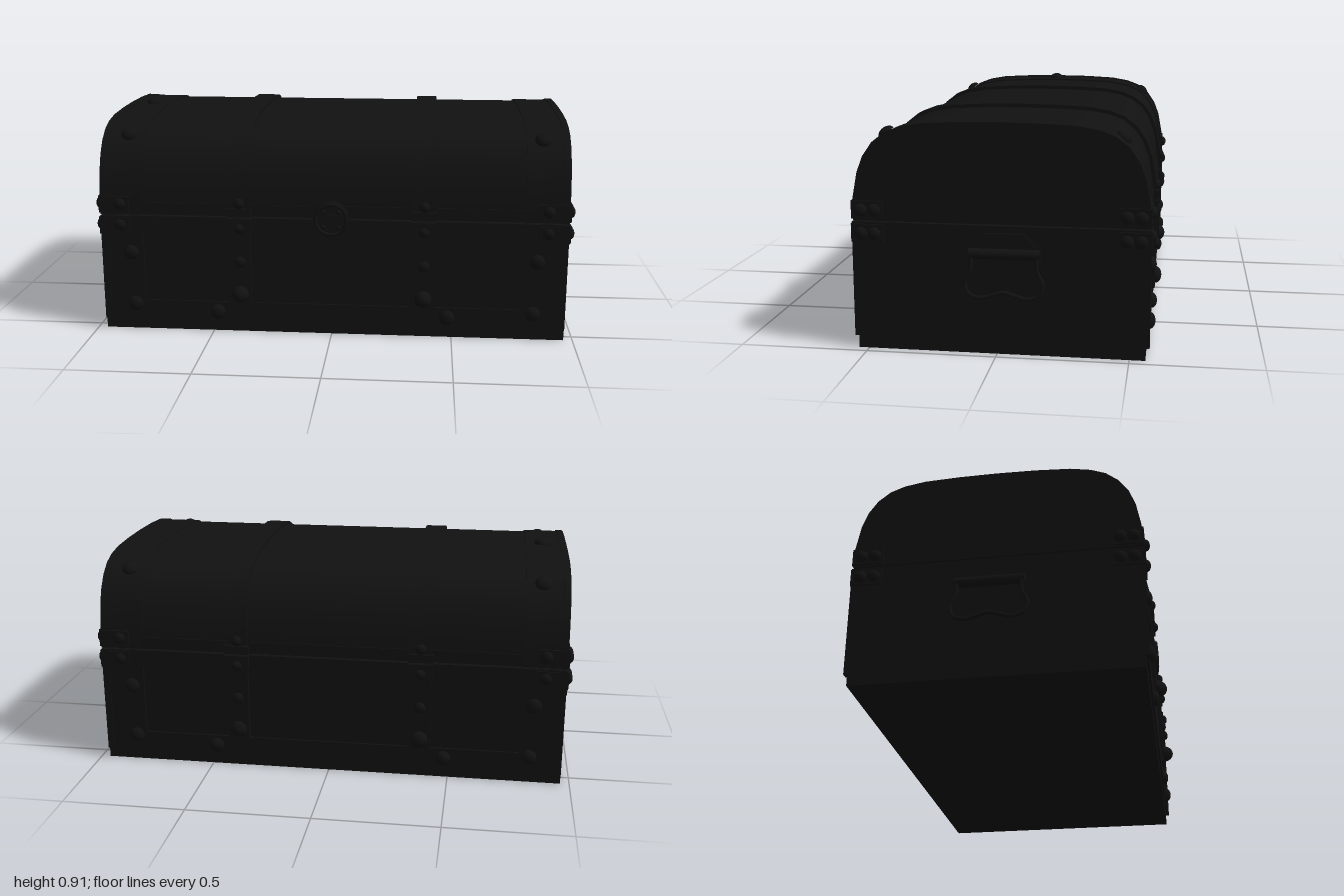
import * as THREE from 'three';
import { toCreasedNormals } from 'three/addons/utils/BufferGeometryUtils.js';

const DARK = new THREE.MeshStandardMaterial({ color: 0x111111 });
const CZ = -0.01;     // depth centre of the chest
const HALF_X = 0.963; // half length
const HALF_Z = 0.55;  // half depth
const SEAM = 0.5;

// Half of the lid arch: [distance from the centre, height]
const ARCH = [[0.55, 0.503], [0.548, 0.59], [0.53, 0.685], [0.507, 0.745], [0.472, 0.795],
  [0.425, 0.832], [0.37, 0.853], [0.29, 0.867], [0.15, 0.874], [0, 0.876]];

export function createModel() {
  const chest = new THREE.Group();
  chest.name = 'treasureChest';

  const add = (name, geometry, x = 0, y = 0, z = 0, parent = chest) => {
    const mesh = new THREE.Mesh(geometry, DARK);
    mesh.name = name;
    mesh.position.set(x, y, z);
    parent.add(mesh);
    return mesh;
  };
  const box = (name, w, h, d, x, y, z) => add(name, new THREE.BoxGeometry(w, h, d), x, y, z);

  // Slice of the lid arch, grown outwards by offset
  const arch = (name, x0, x1, offset) => {
    const side = ARCH.map(([z, y], i) => {
      const a = ARCH[Math.max(i - 1, 0)], b = ARCH[Math.min(i + 1, ARCH.length - 1)];
      const n = new THREE.Vector2(b[1] - a[1], a[0] - b[0]).normalize();
      if (i === 0) n.set(1, 0);
      if (z === 0) n.set(0, 1);
      return new THREE.Vector2(z + n.x * offset, y + n.y * offset);
    });
    const other = side.slice(0, -1).reverse().map(p => new THREE.Vector2(-p.x, p.y));
    let g = new THREE.ExtrudeGeometry(new THREE.Shape([...side, ...other]),
      { depth: x1 - x0, bevelEnabled: false });
    g.rotateY(Math.PI / 2);
    g = toCreasedNormals(g, 0.6);
    return add(name, g, x0, 0, CZ);
  };

  // Domed stud facing along a direction
  const dome = new THREE.SphereGeometry(1, 16, 6, 0, Math.PI * 2, 0, Math.PI / 2);
  const up = new THREE.Vector3(0, 1, 0);
  const stud = (x, y, z, dir, r = 0.032, h = 0.022) => {
    const m = add('stud', dome, x, y, z);
    m.scale.set(r, h, r);
    m.quaternion.setFromUnitVectors(up, new THREE.Vector3(...dir).normalize());
  };

  // Base and lid, parted by a thin seam
  box('base', HALF_X * 2, 0.498, HALF_Z * 2, 0, 0.249, CZ);
  arch('lid', -HALF_X, HALF_X, 0);

  // Front and back faces
  for (const s of [1, -1]) {
    const face = (name, w, h, t, x, y) => box(name, w, h, t, x, y, CZ + s * (HALF_Z + t / 2));
    face('bottomTrim', 1.58, 0.085, 0.008, 0, 0.0875);
    face('baseRimTrim', 1.58, 0.075, 0.008, 0, 0.46);
    face('lidRimTrim', 1.58, 0.05, 0.005, 0, 0.529);

    for (const m of [1, -1]) {
      // Corner boards with a narrow outer edge
      face('cornerBoard', 0.175, 0.45, 0.01, m * 0.8755, 0.272);
      face('cornerEdge', 0.028, 0.45, 0.015, m * 0.949, 0.272);
      const zf = CZ + s * (HALF_Z + 0.01);
      stud(m * 0.84, 0.34, zf, [0, 0, s]);
      stud(m * 0.83, 0.115, zf, [0, 0, s]);
      stud(m * 0.48, 0.087, zf - s * 0.002, [0, 0, s]);

      // Strap down the base, with hasp and studs
      face('baseStrap', 0.09, 0.376, 0.018, m * 0.38, 0.31);
      face('haspLower', 0.1, 0.06, 0.024, m * 0.38, 0.467);
      face('haspUpper', 0.1, 0.035, 0.024, m * 0.38, 0.522);
      const zs = CZ + s * (HALF_Z + 0.018);
      stud(m * 0.38, 0.17, zs, [0, 0, s], 0.036, s > 0 ? 0.042 : 0.026);
      stud(m * 0.38, 0.31, zs, [0, 0, s], 0.024, 0.016);
      stud(m * 0.38, 0.455, zs, [0, 0, s], 0.022, 0.02);
      stud(m * 0.38, 0.56, zs - s * 0.004, [0, 0, s], 0.022, 0.018);

      // Corner brackets wrapping the ends on both sides of the seam
      for (const y of [0.455, 0.545]) {
        const wrap = face('bracketFace', 0.125, 0.07, 0.017, m * 0.905, y);
        wrap.position.z -= y > SEAM ? s * 0.002 : 0;
        stud(m * 0.88, y + 0.005, CZ + s * 0.565, [0, 0, s], 0.024, 0.018);
        box('bracketEnd', 0.008, 0.07, 0.115, m * (HALF_X + 0.004), y, CZ + s * 0.499);
        for (const z of [0.475, 0.527])
          stud(m * 0.97, y, CZ + s * z, [m, 0, 0], 0.025, 0.017);
      }

      // Studs on the lid shoulders
      stud(m * 0.855, 0.822, CZ + s * 0.45, [0, 0.78, s * 0.62], 0.034, 0.024);
    }
  }
  stud(-0.86, 0.882, CZ, [0, 1, 0], 0.034, 0.024);

  // Lid end bands, edge rims and straps
  for (const m of [1, -1]) {
    const band = (name, a, b, o) => arch(name, Math.min(m * a, m * b), Math.max(m * a, m * b), o);
    band('lidEndBand', 0.788, HALF_X, 0.006);
    band('lidEdgeRim', 0.935, HALF_X, 0.01);
    band('lidStrap', 0.335, 0.425, 0.015);
  }

  // Round lock plate on the front
  const lock = new THREE.Group();
  lock.name = 'lock';
  lock.position.set(0, 0.5, CZ + HALF_Z);
  chest.add(lock);
  const disc = (name, r, h) => {
    add(name, new THREE.CylinderGeometry(r, r, h, 28), 0, 0, h / 2, lock).rotation.x = Math.PI / 2;
  };
  disc('lockPlate', 0.075, 0.016);
  disc('lockBoss', 0.026, 0.026);
  add('lockRim', new THREE.TorusGeometry(0.064, 0.008, 8, 28), 0, 0, 0.016, lock);
  for (let i = 0; i < 4; i++) {
    const a = Math.PI / 4 + i * Math.PI / 2;
    add('lockPin', new THREE.SphereGeometry(0.01, 10, 8),
      Math.cos(a) * 0.045, Math.sin(a) * 0.045, 0.016, lock);
  }

  // Carrying handles on both ends
  const half = [[0.125, 0.39], [0.125, 0.335], [0.147, 0.285], [0.132, 0.243],
    [0.09, 0.228], [0.045, 0.238]];
  const loop = [...half, [0, 0.25], ...half.map(([z, y]) => [-z, y]).reverse()];
  for (const m of [1, -1]) {
    const handle = new THREE.Group();
    handle.name = m > 0 ? 'leftHandle' : 'rightHandle';
    handle.position.z = -0.03;
    chest.add(handle);
    const path = new THREE.CatmullRomCurve3(
      loop.map(([z, y]) => new THREE.Vector3(m * (0.992 - (y - 0.228) * 0.06), y, z)));
    add('handleLoop', new THREE.TubeGeometry(path, 60, 0.008, 8), 0, 0, 0, handle);
    add('handleBar', new THREE.CylinderGeometry(0.02, 0.02, 0.27, 16), m * 0.972, 0.393, 0, handle)
      .rotation.x = Math.PI / 2;
    const plate = new THREE.Shape([[-0.13, 0.38], [0.13, 0.38], [0.115, 0.425], [0.075, 0.47],
      [-0.075, 0.47], [-0.115, 0.425]].map(p => new THREE.Vector2(...p)));
    const g = new THREE.ExtrudeGeometry(plate, { depth: 0.008, bevelEnabled: false });
    g.rotateY(m * Math.PI / 2);
    add('handlePlate', g, m * HALF_X, 0, 0, handle);
  }
  return chest;
}
